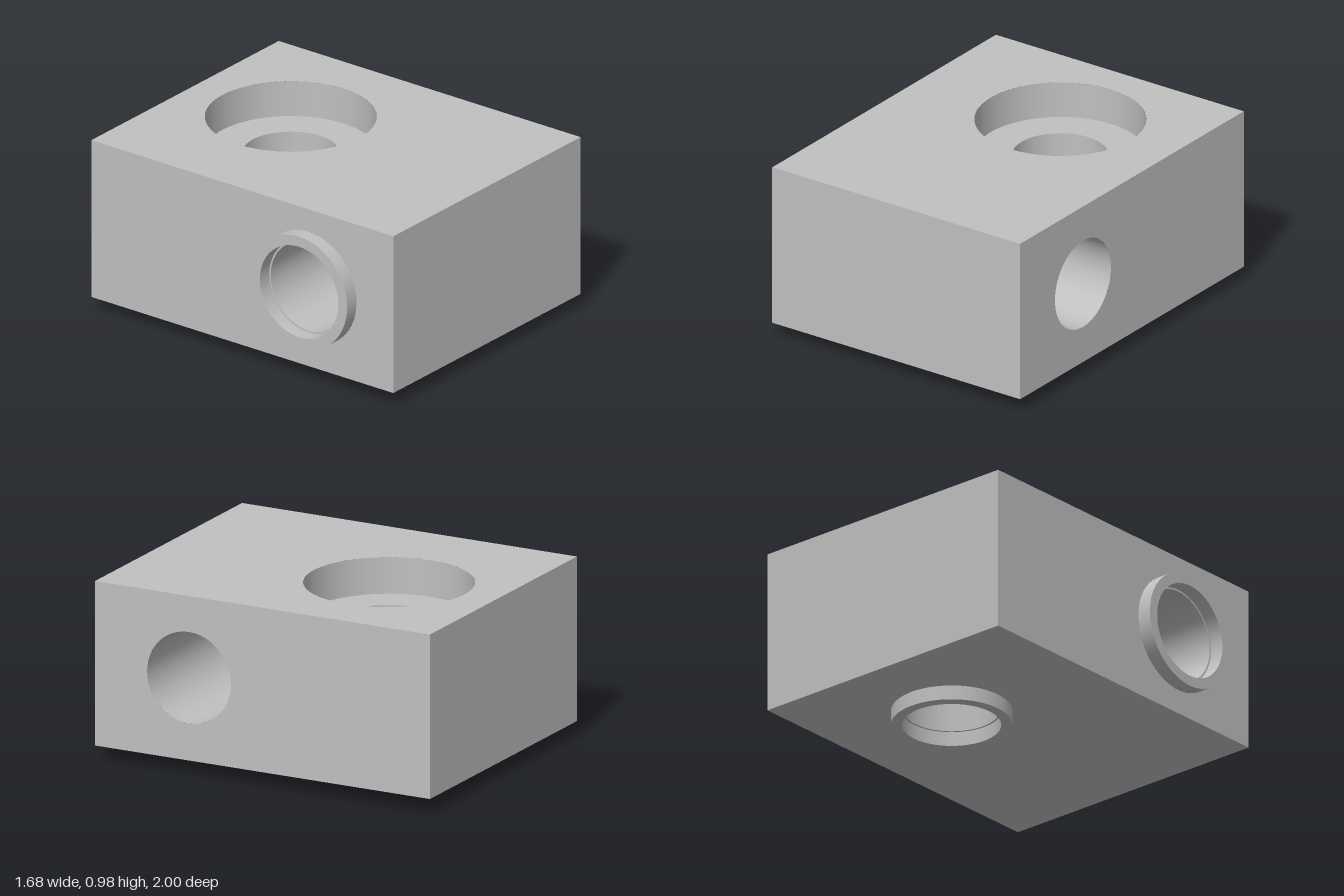
import * as THREE from 'three';
import { mergeGeometries } from 'three/addons/utils/BufferGeometryUtils.js';

const SEG = 72;
const X0 = -0.76, X1 = 0.84, Y0 = 0.08, Y1 = 0.98, Z0 = -1, Z1 = 1;
const CX = (X0 + X1) / 2, CY = (Y0 + Y1) / 2;
const BORE = 0.25, LIP = 0.26, COLLAR = 0.318, COUNTERBORE = 0.45;
const PORT_H = 0.08;                        // how far the collars stand out
const VERT = { x: 0.118, z: -0.36 };        // axis of the vertical bore
const SIDE = { y: 0.533, z: 0.438 };        // axis of the cross bore

// Rectangle centred on the origin, facing +z, with an optional round hole
function panel(w, h, hole) {
  const s = new THREE.Shape();
  s.moveTo(-w / 2, -h / 2).lineTo(w / 2, -h / 2).lineTo(w / 2, h / 2).lineTo(-w / 2, h / 2).closePath();
  if (hole) s.holes.push(new THREE.Path().absarc(hole[0], hole[1], hole[2], 0, Math.PI * 2, true));
  return new THREE.ShapeGeometry(s, SEG);
}

// Turned surface with a sharp edge at every profile point
function turned(profile) {
  const bands = [];
  for (let i = 0; i < profile.length - 1; i++) {
    const pair = [profile[i], profile[i + 1]].map(([r, y]) => new THREE.Vector2(r, y));
    bands.push(new THREE.LatheGeometry(pair, SEG));
  }
  return mergeGeometries(bands);
}

// Bore end with its raised collar, from the ledge inside to the outer wall
const collarProfile = (base) => [
  [BORE, base], [LIP, base], [LIP, base - PORT_H], [COLLAR, base - PORT_H], [COLLAR, base],
];

export function createModel() {
  const model = new THREE.Group();
  model.name = 'portedBlock';
  const grey = new THREE.MeshStandardMaterial({ color: 0xc0c0c0 });
  grey.name = 'machinedGrey';

  const add = (name, geometry) => {
    const mesh = new THREE.Mesh(geometry, grey);
    mesh.name = name;
    model.add(mesh);
    return mesh;
  };

  // Block walls
  const w = X1 - X0, h = Y1 - Y0, d = Z1 - Z0, q = Math.PI / 2;
  const hx = VERT.x - CX, sy = SIDE.y - CY;
  add('blockFront', panel(w, h).translate(CX, CY, Z1));
  add('blockBack', panel(w, h).rotateY(Math.PI).translate(CX, CY, Z0));
  add('blockTop', panel(w, d, [hx, -VERT.z, COUNTERBORE]).rotateX(-q).translate(CX, Y1, 0));
  add('blockBottom', panel(w, d, [hx, VERT.z, COLLAR]).rotateX(q).translate(CX, Y0, 0));
  add('blockLeft', panel(d, h, [-SIDE.z, sy, BORE]).rotateY(q).translate(X1, CY, 0));
  add('blockRight', panel(d, h, [SIDE.z, sy, COLLAR]).rotateY(-q).translate(X0, CY, 0));

  // Vertical bore with counterbore on top and collar underneath
  const floor = Y1 - 0.2;
  add('verticalBore', turned([[COUNTERBORE, Y1], [COUNTERBORE, floor], [BORE, floor], [BORE, Y0]]))
    .position.set(VERT.x, 0, VERT.z);
  add('bottomCollar', turned(collarProfile(Y0))).position.set(VERT.x, 0, VERT.z);

  // Cross bore with a collar on the right side
  add('crossBore', turned([[BORE, X1], [BORE, X0]]).rotateZ(-q)).position.set(0, SIDE.y, SIDE.z);
  add('sideCollar', turned(collarProfile(X0)).rotateZ(-q)).position.set(0, SIDE.y, SIDE.z);

  return model;
}
